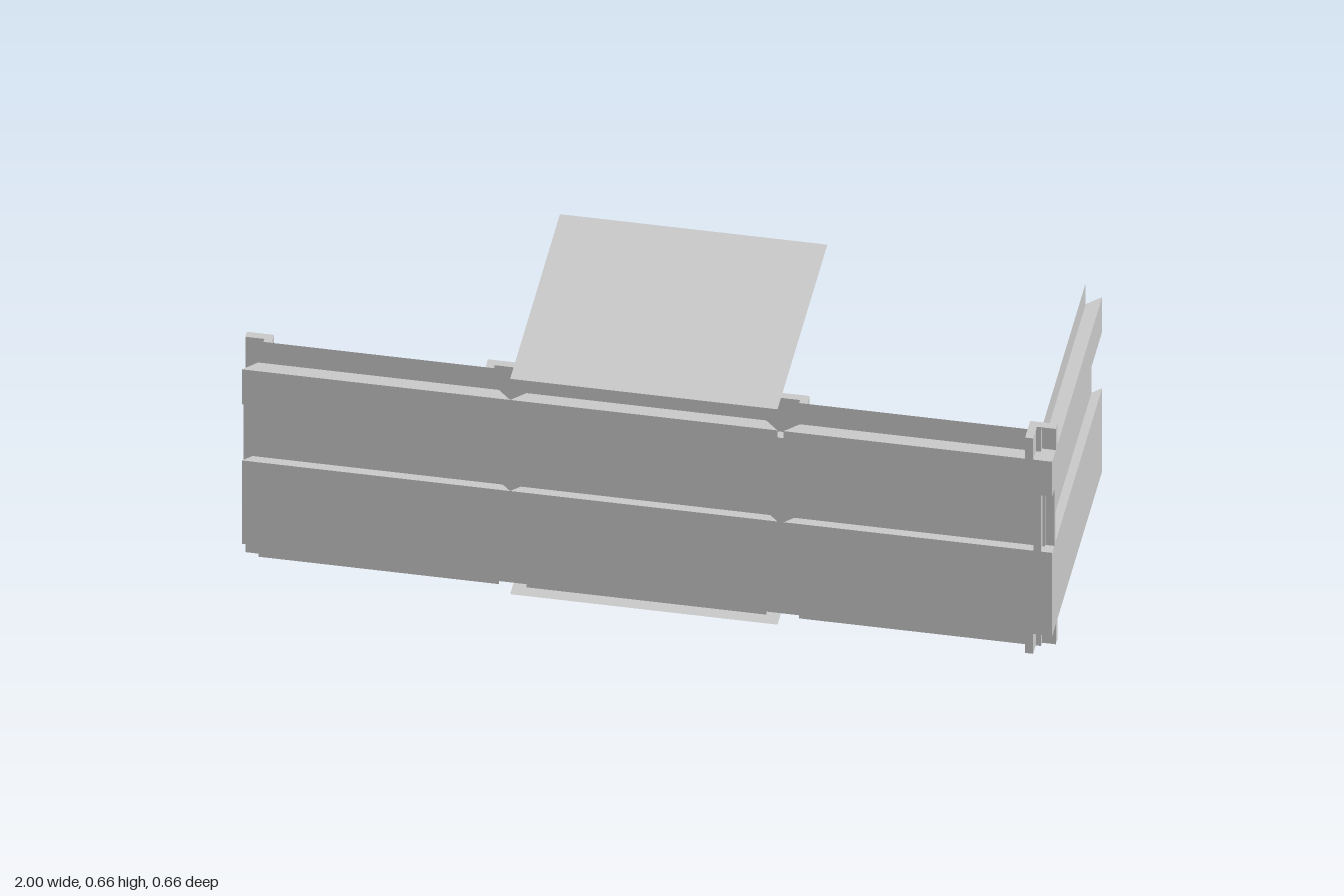
import * as THREE from 'three';

const S = 0.662;      // panel width and height
const F = 0.331;      // outer wall plane
const material = new THREE.MeshStandardMaterial({
  color: 0xcccccc, flatShading: true, side: THREE.DoubleSide,
});

// Ribbed wall profile from bottom to top: [height, depth behind the outer plane]
const profile = [
  [0, 0.034], [0.061, 0.034], [0.061, 0], [0.317, 0], [0.317, 0.022],
  [0.49, 0.022], [0.49, 0], [0.597, 0], [0.597, 0.034], [S, 0.034],
];

// Folded sheet whose ends are mitred at 45 degrees; faces +z
function wallPanel(name, x0, x1) {
  const pos = [], index = [];
  profile.forEach(([y, d], i) => {
    pos.push(x0 + d, y, -d, x1 - d, y, -d);
    if (i) {
      const a = 2 * (i - 1);
      index.push(a, a + 1, a + 3, a, a + 3, a + 2);
    }
  });
  const geo = new THREE.BufferGeometry();
  geo.setAttribute('position', new THREE.Float32BufferAttribute(pos, 3));
  geo.setIndex(index);
  const flat = geo.toNonIndexed();
  flat.computeVertexNormals();
  const mesh = new THREE.Mesh(flat, material);
  mesh.name = name;
  return mesh;
}

// Plan outline pulled up between two heights
function upright(name, points, y0, y1) {
  const shape = new THREE.Shape(points.map(([x, z]) => new THREE.Vector2(x, -z)));
  const geo = new THREE.ExtrudeGeometry(shape, { depth: y1 - y0, bevelEnabled: false });
  geo.rotateX(-Math.PI / 2).translate(0, y0, 0);
  const mesh = new THREE.Mesh(geo, material);
  mesh.name = name;
  return mesh;
}

// Post: a slim column with a wider bracket at the foot and head
function post(name, bracket, column) {
  const group = new THREE.Group();
  group.name = name;
  group.add(
    upright('footBracket', bracket, 0, 0.105),
    upright('column', column, 0.105, 0.558),
    upright('headBracket', bracket, 0.558, S),
  );
  return group;
}

// Half of a channel post behind a joint; side is the direction it extends
function halfPost(name, x, side) {
  const place = (pts) => pts.map(([u, z]) => [x + side * u, z]);
  return post(name,
    place([[0, 0.265], [0.067, 0.265], [0.067, 0.297], [0.047, 0.297], [0.047, 0.285], [0, 0.285]]),
    place([[0, 0.285], [0.045, 0.285], [0.045, 0.309], [0, 0.309]]));
}

// Angle whose two arms run out through the corner notches
function angle(inner, thick) {
  const a = 1 - inner, b = F - inner;
  return [[a, b], [1, b], [1, b + thick], [a + thick, b + thick], [a + thick, F], [a, F]];
}

export function createModel() {
  const model = new THREE.Group();
  model.name = 'panelledBoxSection';

  // Three front walls in a row
  const fronts = [
    ['frontWallRight', -1, -0.338],
    ['frontWallMiddle', -0.338, 0.322],
    ['frontWallLeft', 0.337, 1],
  ];
  for (const [name, x0, x1] of fronts) {
    const wall = wallPanel(name, x0, x1);
    wall.position.z = F;
    model.add(wall);
  }

  // Side wall turned to face +x
  const side = wallPanel('sideWall', -F, F);
  side.rotation.y = Math.PI / 2;
  side.position.x = 1;
  model.add(side);

  // Joint posts and the end post
  model.add(halfPost('endPost', -1, 1));
  for (const x of [-0.338, 0.322]) {
    for (const s of [-1, 1]) model.add(halfPost('jointPost', x, s));
  }

  // Corner post where the side wall meets the front
  model.add(post('cornerPost', angle(0.067, 0.02), angle(0.046, 0.018)));

  // Floor and ceiling sheets
  for (const [name, y] of [['floor', 0], ['ceiling', S]]) {
    const sheet = new THREE.Mesh(
      new THREE.PlaneGeometry(0.66, S).rotateX(-Math.PI / 2), material);
    sheet.name = name;
    sheet.position.set(-0.008, y, 0);
    model.add(sheet);
  }
  return model;
}
